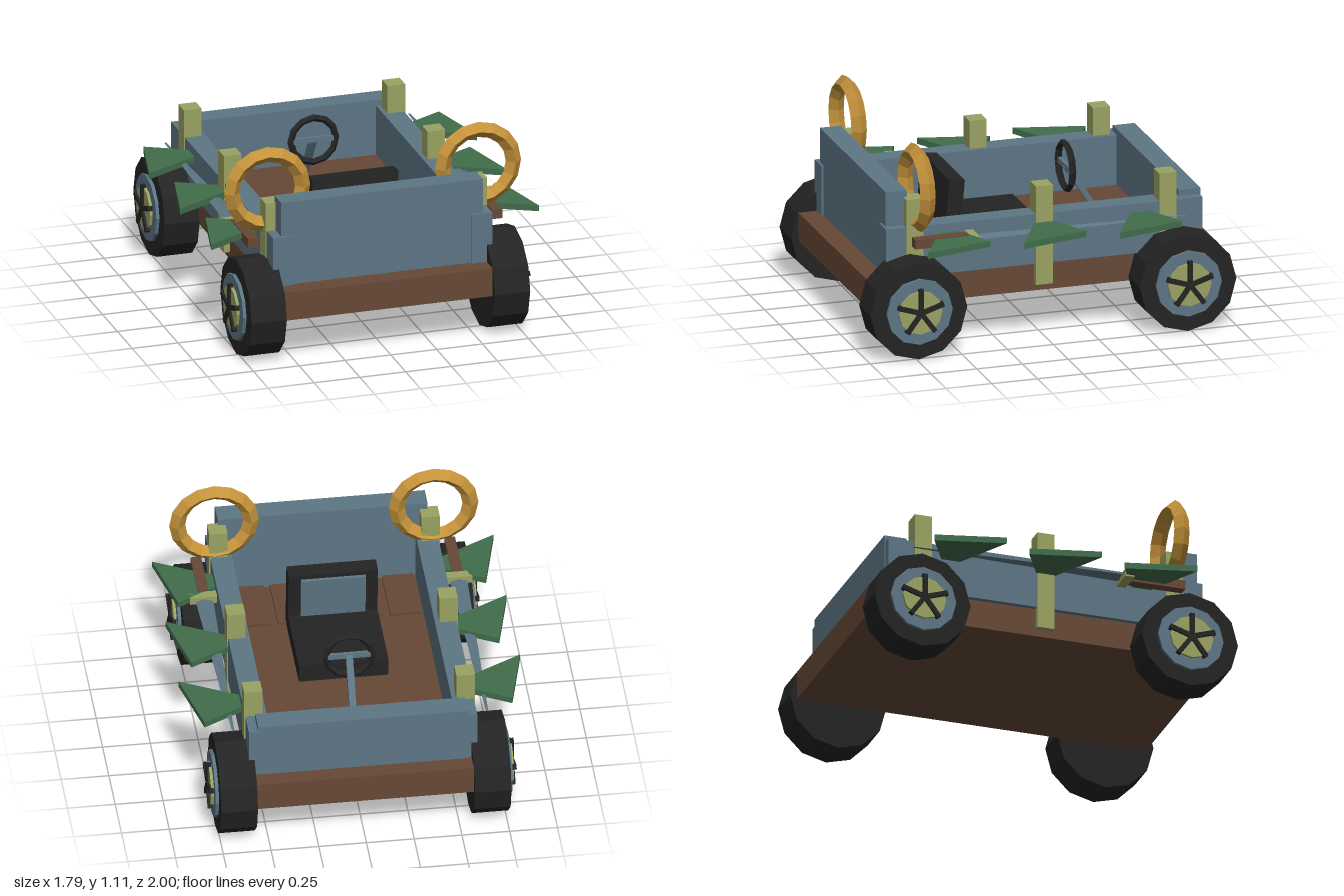
import * as THREE from 'three';

const mat = (name, color) => {
  const m = new THREE.MeshStandardMaterial({ color });
  m.name = name;
  m.flatShading = true;
  return m;
};

export function createModel() {
  const model = new THREE.Group();
  model.name = 'buggy';
  const blue = mat('slateBlue', 0x5d7684);
  const brown = mat('woodBrown', 0x664836);
  const black = mat('rubberBlack', 0x242424);
  const olive = mat('olive', 0x99a262);
  const green = mat('finGreen', 0x416d4c);
  const gold = mat('gold', 0xc4923a);

  const add = (name, geo, material, x = 0, y = 0, z = 0, parent = model) => {
    const mesh = new THREE.Mesh(geo, material);
    mesh.name = name;
    mesh.position.set(x, y, z);
    parent.add(mesh);
    return mesh;
  };
  // Box given by its lower and upper corners
  const box = (name, material, [x0, y0, z0], [x1, y1, z1], parent = model) =>
    add(name, new THREE.BoxGeometry(x1 - x0, y1 - y0, z1 - z0), material,
      (x0 + x1) / 2, (y0 + y1) / 2, (z0 + z1) / 2, parent);

  // Chassis, end boards and floor planks
  box('chassis', brown, [-0.57, 0.245, -0.96], [0.57, 0.4, 0.96]);
  box('frontBoard', blue, [-0.55, 0.4, 0.735], [0.55, 0.86, 0.85]);
  box('backBoard', blue, [-0.55, 0.4, -0.87], [0.55, 0.705, -0.75]);
  for (let i = -2; i <= 2; i++) {
    const x = i * 0.196;
    box('floorPlank', brown, [x - 0.082, 0.4, 0.4], [x + 0.082, 0.415, 0.735]);
  }

  // Seat with a leaning back and an inset pad
  box('seatCushion', black, [-0.235, 0.4, -0.1], [0.235, 0.5, 0.36]);
  const seatBack = new THREE.Group();
  seatBack.name = 'seatBack';
  seatBack.position.set(0, 0.59, 0.373);
  seatBack.rotation.x = -0.09;
  model.add(seatBack);
  box('backRest', black, [-0.235, -0.185, -0.042], [0.235, 0.185, 0.042], seatBack);
  box('backPad', blue, [-0.17, -0.08, -0.06], [0.17, 0.16, -0.04], seatBack);

  // Steering wheel, crossbar and sloping column
  add('steeringWheel', new THREE.TorusGeometry(0.123, 0.019, 4, 12), black, 0, 0.707, -0.312);
  box('steeringCrossbar', blue, [-0.115, 0.692, -0.322], [0.115, 0.722, -0.304]);
  const column = add('steeringColumn', new THREE.BoxGeometry(0.036, 0.38, 0.03), blue, 0, 0.55, -0.415);
  column.rotation.x = Math.atan2(0.2, 0.31);

  // Cylinder lying along x, with a corner at the top
  const disc = (r, x0, x1) =>
    new THREE.CylinderGeometry(r, r, x1 - x0, 12).rotateZ(-Math.PI / 2).translate((x0 + x1) / 2, 0, 0);

  // Fin outline in x and z, extruded upwards
  const finShape = new THREE.Shape([[0.59, -0.048], [0.806, -0.163], [0.894, 0.206], [0.59, 0.048]]
    .map(([x, z]) => new THREE.Vector2(x, -z)));
  const finGeo = new THREE.ExtrudeGeometry(finShape, { depth: 0.033, bevelEnabled: false })
    .rotateX(-Math.PI / 2).translate(0, 0.593, 0);

  // Flat four-sided blade tapering towards the back
  const bladeGeo = new THREE.CylinderGeometry(0.006, 0.046, 1.13, 4)
    .rotateX(-Math.PI / 2).scale(1, 0.35, 1);

  const buildSide = (side) => {
    const g = new THREE.Group();
    g.name = side > 0 ? 'leftSide' : 'rightSide';
    box('sideWall', blue, [0.485, 0.4, -0.865], [0.598, 0.672, 0.863], g);

    // Wheels with rim, hub and five spokes
    for (const z of [0.737, -0.733]) {
      const wheel = new THREE.Group();
      wheel.name = z > 0 ? 'frontWheel' : 'backWheel';
      wheel.position.set(0, 0.265, z);
      g.add(wheel);
      add('tire', disc(0.264, 0.568, 0.76), black, 0, 0, 0, wheel);
      add('rim', disc(0.179, 0.7, 0.778), blue, 0, 0, 0, wheel);
      add('hub', disc(0.118, 0.75, 0.793), olive, 0, 0, 0, wheel);
      for (let i = 0; i < 5; i++) {
        const spoke = new THREE.BoxGeometry(0.025, 0.13, 0.026).translate(0.793, 0.065, 0);
        add('spoke', spoke.rotateX(i * Math.PI * 2 / 5), black, 0, 0, 0, wheel);
      }
    }

    // Posts and the fins beside them
    for (const z of [0.707, 0, -0.675])
      box('post', olive, [0.508, 0.285, z - 0.047], [0.604, 0.825, z + 0.047], g);
    for (const z of [0.525, 0, -0.522]) add('fin', finGeo, green, 0, 0, z, g);

    // Side blade with guard and handle
    add('blade', bladeGeo, blue, 0.665, 0.605, -0.185, g);
    box('bladeGuard', olive, [0.59, 0.584, 0.39], [0.74, 0.626, 0.44], g);
    box('bladeHandle', brown, [0.637, 0.581, 0.44], [0.693, 0.631, 0.735], g);

    // Ring hung on the front post
    add('ring', new THREE.TorusGeometry(0.193, 0.042, 4, 16), gold, 0.575, 0.88, 0.69, g);

    g.scale.x = side;
    model.add(g);
  };
  buildSide(1);
  buildSide(-1);

  return model;
}
